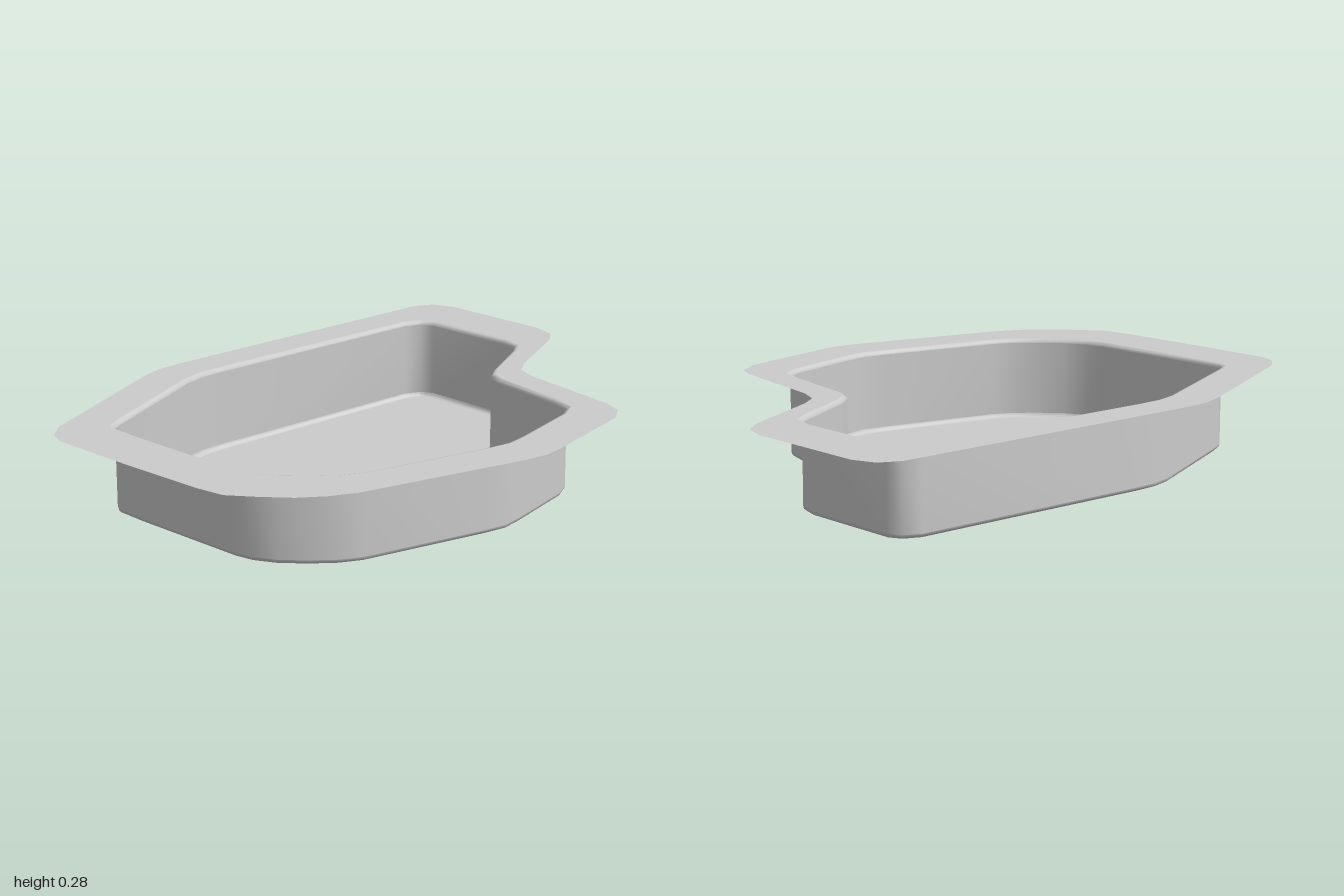
import * as THREE from 'three';
import { toCreasedNormals } from 'three/addons/utils/BufferGeometryUtils.js';

const HEIGHT = 0.28, FILLET = 0.014, STEPS = 3;

// Plan outlines as [x, z], clockwise from the back right corner; points correspond one to one
const basin = [
  [-0.795, -0.35], [-0.78, -0.375], [-0.735, -0.4], [-0.3, -0.595], [-0.225, -0.615], [-0.14, -0.618],
  [0.715, -0.597], [0.77, -0.572], [0.793, -0.53], [0.793, -0.185], [0.775, -0.12], [0.725, -0.085],
  [0.51, 0.025], [0.455, 0.065], [0.43, 0.12], [0.385, 0.4], [0.36, 0.48], [0.3, 0.513],
  [0.03, 0.58], [-0.04, 0.592], [-0.12, 0.58], [-0.54, 0.485], [-0.61, 0.45], [-0.675, 0.395],
  [-0.74, 0.325], [-0.777, 0.255], [-0.79, 0.19], [-0.798, -0.24],
];
const border = [
  [-1, -0.36], [-0.98, -0.42], [-0.915, -0.48], [-0.38, -0.725], [-0.29, -0.755], [-0.19, -0.76],
  [0.905, -0.737], [0.97, -0.705], [1, -0.63], [1, -0.215], [0.975, -0.13], [0.91, -0.08],
  [0.63, 0.055], [0.565, 0.1], [0.535, 0.175], [0.475, 0.55], [0.445, 0.62], [0.375, 0.665],
  [0.03, 0.745], [-0.04, 0.757], [-0.13, 0.745], [-0.68, 0.61], [-0.765, 0.57], [-0.84, 0.515],
  [-0.91, 0.435], [-0.97, 0.355], [-0.985, 0.25], [-0.997, -0.08],
];

// Moves an outline outwards by d with mitred corners
function offset(outline, d) {
  const n = outline.length;
  const normal = (p, q) => new THREE.Vector2(q[1] - p[1], p[0] - q[0]).normalize();
  return outline.map((p, i) => {
    const a = normal(outline[(i + n - 1) % n], p), b = normal(p, outline[(i + 1) % n]);
    const m = a.clone().add(b).normalize();
    const k = d / m.dot(b);
    return [p[0] + m.x * k, p[1] + m.y * k];
  });
}

const ring = (outline, y) => outline.map(([x, z]) => [x, y, z]);

// Skins a closed strip through successive rings
function loft(rings) {
  const pos = [];
  for (let r = 0; r < rings.length - 1; r++) {
    const a = rings[r], b = rings[r + 1];
    a.forEach((p, i) => {
      const j = (i + 1) % a.length;
      pos.push(...p, ...a[j], ...b[j], ...p, ...b[j], ...b[i]);
    });
  }
  const g = new THREE.BufferGeometry();
  g.setAttribute('position', new THREE.Float32BufferAttribute(pos, 3));
  return toCreasedNormals(g, 0.75);
}

export function createModel() {
  const group = new THREE.Group();
  const material = new THREE.MeshStandardMaterial({ color: 0xcccccc, side: THREE.DoubleSide });
  const add = (name, geometry) => {
    const mesh = new THREE.Mesh(geometry, material);
    mesh.name = name;
    group.add(mesh);
  };

  // Quarter-round rings for the floor edge and the rolled rim
  const lower = [], upper = [];
  for (let i = 0; i <= STEPS; i++) {
    const t = (i / STEPS) * Math.PI / 2;
    const c = FILLET * (1 - Math.cos(t)), s = FILLET * (1 - Math.sin(t));
    lower.push(ring(offset(basin, -s), c));
    upper.push(ring(offset(basin, c), HEIGHT - s));
  }

  // Flat floor
  const floorOutline = offset(basin, -FILLET).map(([x, z]) => new THREE.Vector2(x, -z));
  add('floor', new THREE.ShapeGeometry(new THREE.Shape(floorOutline)).rotateX(-Math.PI / 2));

  // Side walls with rounded bottom and top edges
  add('floorFillet', loft(lower));
  add('wall', loft([lower[STEPS], upper[0]]));
  add('rimFillet', loft(upper));

  // Wide flat flange around the rim
  add('flange', loft([upper[STEPS], ring(border, HEIGHT)]));

  return group;
}
